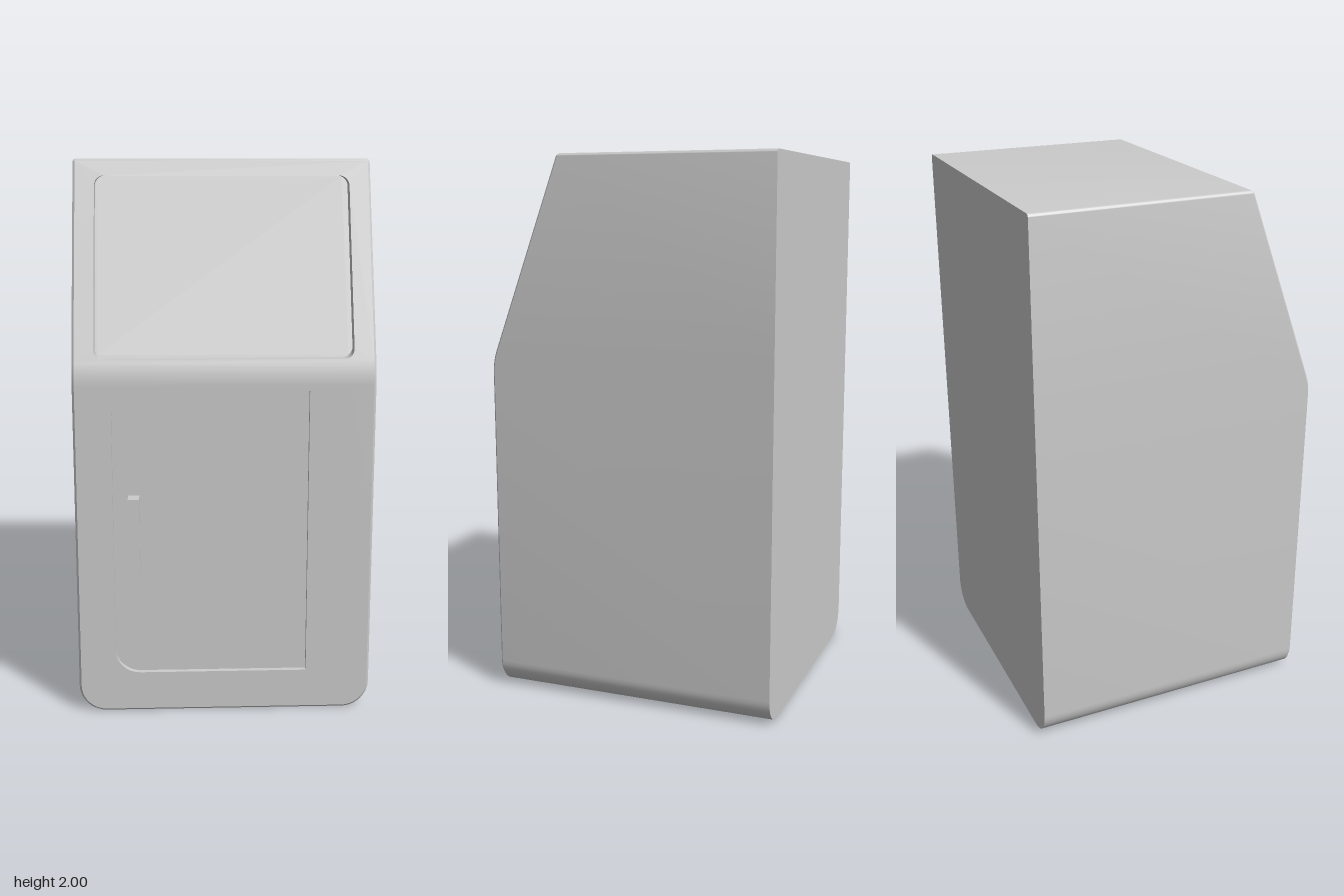
import * as THREE from 'three';
import { mergeGeometries, toCreasedNormals } from 'three/addons/utils/BufferGeometryUtils.js';

const W = 0.535, H = 2, BACK = -0.555, FRONT = 0.52;
const Y0 = 1.22, Y1 = 1.30, SLOPE = 0.3716; // soft bend between upright and sloped front
const BEND = [0, 1, 2, 3, 4].map(i => Y0 + (Y1 - Y0) * i / 4);

// depth of the front face at height y
function frontZ(y) {
  if (y <= Y0) return FRONT;
  if (y < Y1) return FRONT - SLOPE * (y - Y0) ** 2 / (2 * (Y1 - Y0));
  return FRONT - SLOPE * (y - (Y0 + Y1) / 2);
}

function arc(cx, cy, r, start, n) {
  if (r <= 0) return [new THREE.Vector2(cx, cy)];
  return Array.from({ length: n + 1 }, (_, i) => {
    const a = start + Math.PI / 2 * i / n;
    return new THREE.Vector2(cx + r * Math.cos(a), cy + r * Math.sin(a));
  });
}

// counter-clockwise rounded rectangle; extra heights are added on both sides
function roundRect(x0, x1, y0, y1, [tr, tl, bl, br], n = 8, ys = []) {
  return [
    ...ys.map(y => new THREE.Vector2(x1, y)),
    ...arc(x1 - tr, y1 - tr, tr, 0, n),
    ...arc(x0 + tl, y1 - tl, tl, Math.PI / 2, n),
    ...[...ys].reverse().map(y => new THREE.Vector2(x0, y)),
    ...arc(x0 + bl, y0 + bl, bl, Math.PI, n),
    ...arc(x1 - br, y0 + br, br, Math.PI * 1.5, n),
  ];
}

const outline = d => roundRect(-W + d, W - d, d, H - d,
  [0.012 - d, 0.012 - d, 0.1 - d, 0.1 - d], 10, BEND);

// flat shape pushed on to a depth rule
function sheet(points, zAt, holes = []) {
  const shape = new THREE.Shape(points);
  shape.holes = holes.map(h => new THREE.Path(h));
  const g = new THREE.ShapeGeometry(shape).toNonIndexed();
  g.deleteAttribute('uv');
  const p = g.attributes.position;
  for (let i = 0; i < p.count; i++) p.setZ(i, zAt(p.getY(i)));
  return g;
}

// wall between two matching closed rings
function wall(a, za, b, zb) {
  const out = [];
  const put = (p, z) => out.push(p.x, p.y, z(p.y));
  a.forEach((_, i) => {
    const j = (i + 1) % a.length;
    put(a[i], za); put(a[j], za); put(b[j], zb);
    put(a[i], za); put(b[j], zb); put(b[i], zb);
  });
  const g = new THREE.BufferGeometry();
  g.setAttribute('position', new THREE.Float32BufferAttribute(out, 3));
  g.computeVertexNormals();
  return g;
}

export function createModel() {
  const group = new THREE.Group();
  const material = new THREE.MeshStandardMaterial({ color: 0xcccccc });
  const add = (name, parts) => {
    const mesh = new THREE.Mesh(toCreasedNormals(mergeGeometries(parts), 0.5), material);
    mesh.name = name;
    group.add(mesh);
  };

  const door = roundRect(-0.4, 0.3, 0.15, 1.2, [0, 0.09, 0.09, 0]);
  const screen = roundRect(-0.458, 0.458, 1.31, 1.94, [0.035, 0.035, 0.035, 0.035]);
  const outer = outline(0), inner = outline(0.008);
  const rimZ = y => frontZ(y) - 0.008;

  // cabinet sides, top, bottom and back
  const backCap = sheet(outer, () => -BACK).rotateY(Math.PI);
  add('cabinetShell', [wall(outer, () => BACK, outer, rimZ), backCap]);

  // front face in bands, with a thin bevelled rim
  const band = (lo, hi, holes) =>
    sheet(inner.filter(p => p.y >= lo - 1e-6 && p.y <= hi + 1e-6), frontZ, holes);
  const front = [wall(outer, rimZ, inner, frontZ), band(0, Y0, [door]), band(Y1, H, [screen])];
  for (let i = 0; i < 4; i++) front.push(band(BEND[i], BEND[i + 1]));
  add('frontFace', front);

  // recessed door and sloped screen
  const recess = (name, ring, depth) => {
    const floorZ = y => frontZ(y) - depth;
    add(name, [wall(ring, frontZ, ring, floorZ), sheet(ring, floorZ)]);
  };
  recess('doorPanel', door, 0.02);
  recess('screenPanel', screen, 0.05);

  // door handle: side profile with a finger gap, extruded across x
  const profile = new THREE.Shape([
    [0.5, 0.535], [0.555, 0.535], [0.555, 0.82], [0.5, 0.82],
    [0.5, 0.72], [0.544, 0.72], [0.544, 0.63], [0.5, 0.63],
  ].map(p => new THREE.Vector2(...p)));
  const handle = new THREE.Mesh(
    new THREE.ExtrudeGeometry(profile, { depth: 0.04, bevelEnabled: false }), material);
  handle.geometry.rotateY(-Math.PI / 2).translate(-0.305, 0, 0);
  handle.name = 'doorHandle';
  group.add(handle);

  return group;
}
